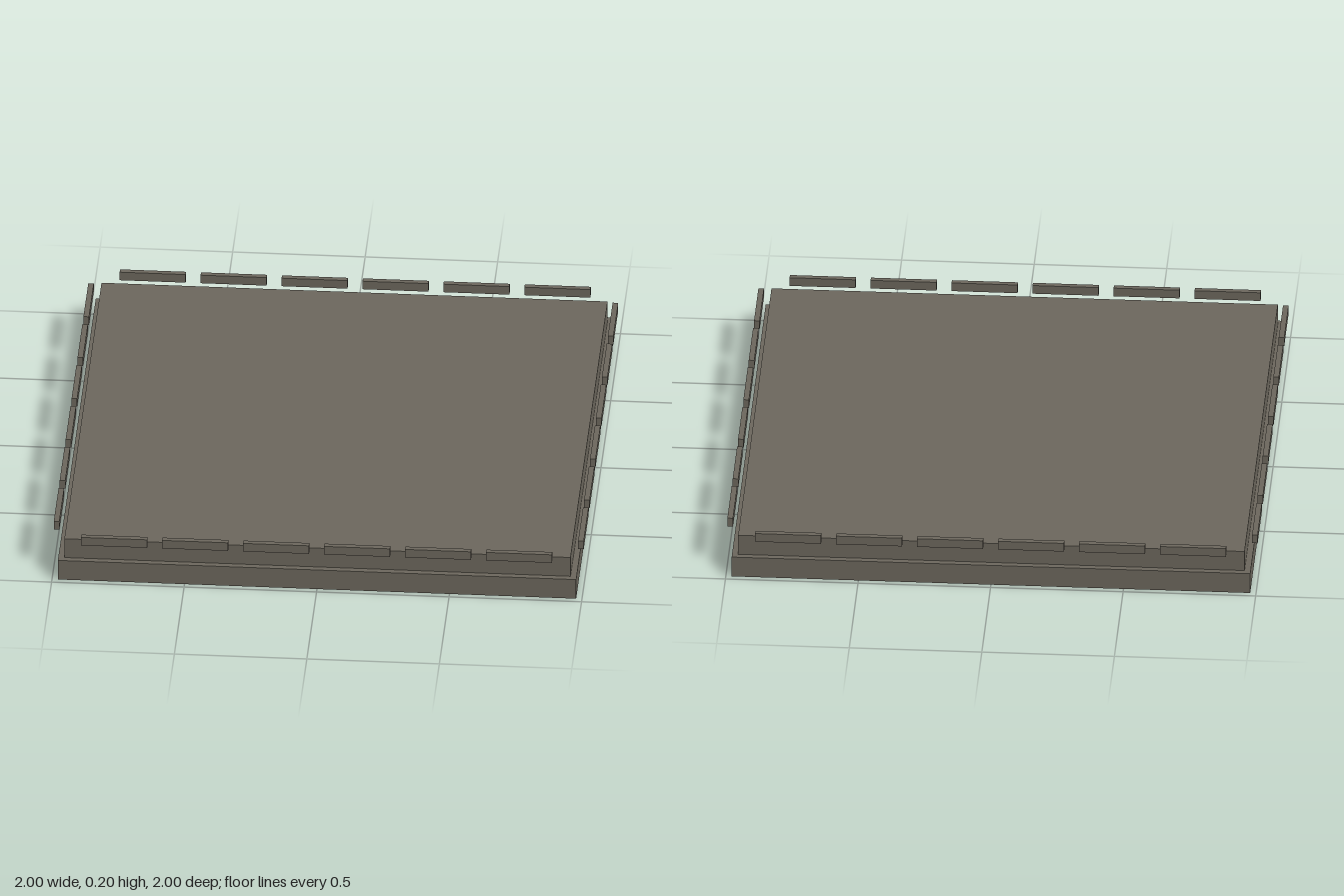
import * as THREE from 'three';

export function createModel() {
  const model = new THREE.Group();
  model.name = 'battlementedPlatform';
  const stone = new THREE.MeshStandardMaterial({ color: 0x6b665c, flatShading: true });

  const box = (name, parent, [w, h, d], [x, y, z]) => {
    const mesh = new THREE.Mesh(new THREE.BoxGeometry(w, h, d), stone);
    mesh.name = name;
    mesh.position.set(x, y, z);
    parent.add(mesh);
  };

  // Two stacked square slabs, the upper slightly inset
  const baseTop = 0.083, deckTop = 0.165, top = 0.2;
  box('baseSlab', model, [1.956, baseTop, 1.956], [0, baseTop / 2, 0]);
  box('upperSlab', model, [1.91, deckTop - baseTop, 1.91], [0, (baseTop + deckTop) / 2, 0]);

  // A row of six merlons just outside each edge
  const count = 6, pitch = 0.3055, thickness = 0.021;
  ['front', 'left', 'back', 'right'].forEach((side, s) => {
    const row = new THREE.Group();
    row.name = side + 'Battlement';
    row.rotation.y = s * Math.PI / 2;
    for (let i = 0; i < count; i++) {
      box('merlon', row, [0.249, top - deckTop, thickness],
        [(i - (count - 1) / 2) * pitch, (deckTop + top) / 2, 1 - thickness / 2]);
    }
    model.add(row);
  });

  return model;
}
